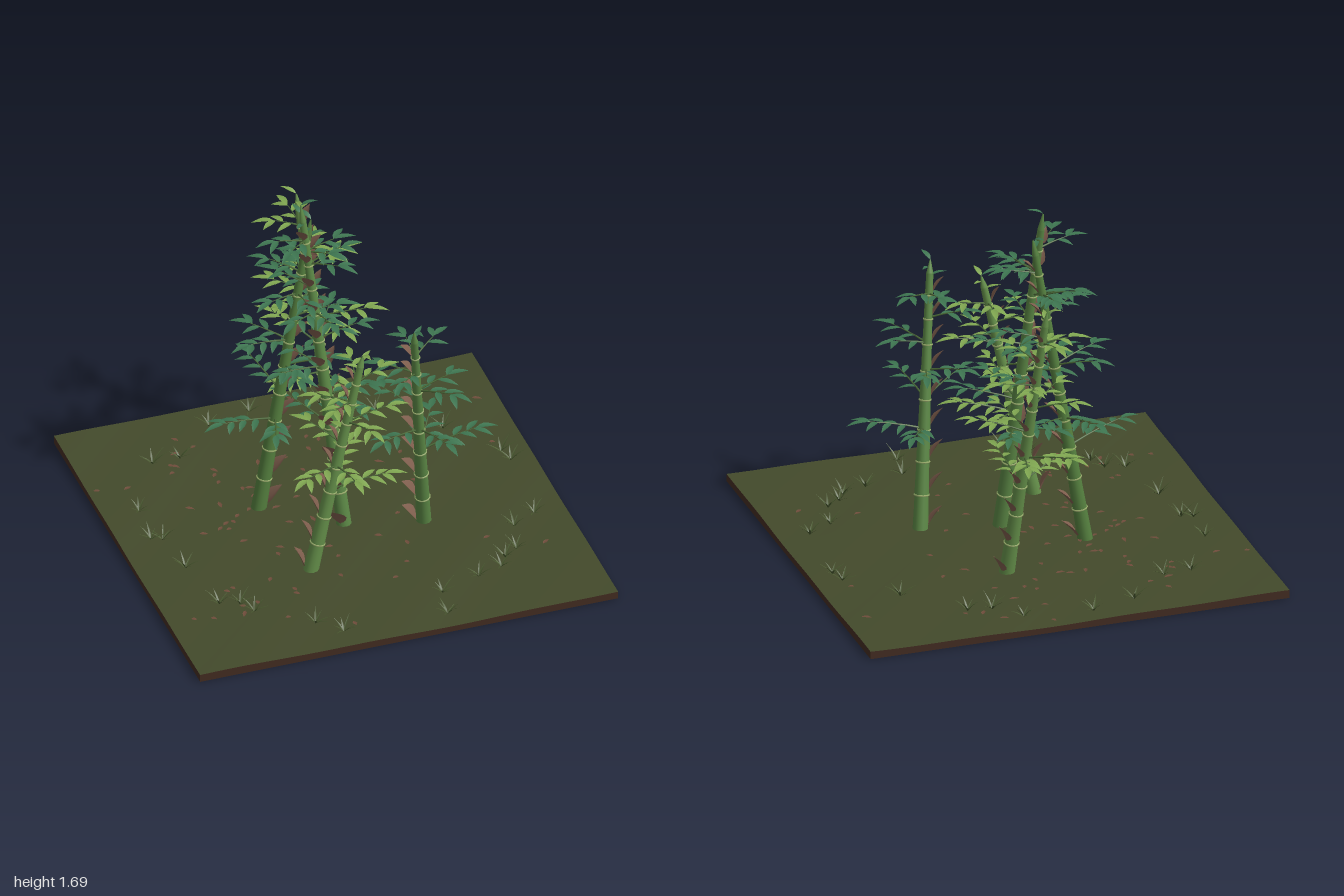
import * as THREE from 'three';
import { mergeGeometries } from 'three/addons/utils/BufferGeometryUtils.js';

const V = (x, y, z) => new THREE.Vector3(x, y, z);
const UP = V(0, 1, 0);

// Small seeded generator
function seeded(seed) {
  let s = seed;
  return (a = 0, b = 1) => {
    s = (s * 16807) % 2147483647;
    return a + (b - a) * (s / 2147483647);
  };
}

const mat = (color, extra = {}) => new THREE.MeshStandardMaterial({ color, ...extra });
const thin = (color) => mat(color, { side: THREE.DoubleSide });

function addMesh(group, name, geometries, material) {
  const mesh = new THREE.Mesh(mergeGeometries(geometries), material);
  mesh.name = name;
  group.add(mesh);
}

// Tapered round bar between two points
function bar(a, b, r0, r1, sides, open = true) {
  const d = b.clone().sub(a);
  const g = new THREE.CylinderGeometry(r1, r0, d.length(), sides, 1, open);
  g.applyQuaternion(new THREE.Quaternion().setFromUnitVectors(UP, d.normalize()));
  const m = a.clone().add(b).multiplyScalar(0.5);
  return g.translate(m.x, m.y, m.z);
}

// Pointed blade along dir: fold raises the edges, droop bends the tip down
function blade(at, dir, up, length, width, { fold = 0.25, droop = 0.2, widest = 0.85, rows = 5 } = {}) {
  const g = new THREE.PlaneGeometry(2, 1, 2, rows);
  const p = g.attributes.position;
  for (let i = 0; i < p.count; i++) {
    const u = p.getX(i), t = 0.5 - p.getY(i);
    const half = Math.max(0.02, Math.sin(Math.PI * Math.pow(t, widest))) * width / 2;
    p.setXYZ(i, u * half, Math.abs(u) * half * fold - droop * length * t * t, t * length);
  }
  g.computeVertexNormals();
  const z = dir.clone().normalize();
  const x = up.clone().cross(z).normalize();
  const y = z.clone().cross(x);
  return g.applyMatrix4(new THREE.Matrix4().makeBasis(x, y, z).setPosition(at));
}

const groundY = (x, z) => 0.034 + 0.005 * Math.sin(3 * x + 1) * Math.cos(2.5 * z) + 0.002 * Math.sin(9 * (x + z));

function buildGround() {
  const g = new THREE.BoxGeometry(2, 0.034, 2, 28, 1, 28).translate(0, 0.017, 0);
  const p = g.attributes.position;
  for (let i = 0; i < p.count; i++) {
    if (p.getY(i) > 0.01) p.setY(i, groundY(p.getX(i), p.getZ(i)));
  }
  g.computeVertexNormals();
  const side = mat(0x432c21), top = mat(0x434a2b), bottom = mat(0x33271c);
  const mesh = new THREE.Mesh(g, [side, side, top, bottom, side, side]);
  mesh.name = 'ground';
  return mesh;
}

// Leafy side branch that rises gently, leaves alternating left and right
function addBranch(start, az, length, rnd, twigs, leaves) {
  const out = V(Math.cos(az), 0, Math.sin(az));
  const side = V(-out.z, 0, out.x);
  const point = (t) => start.clone().addScaledVector(out, length * t).addScaledVector(UP, length * (0.36 * t - 0.1 * t * t));
  for (let k = 0; k < 3; k++) {
    twigs.push(bar(point(k / 3), point((k + 1) / 3), 0.0055 - k * 0.0013, 0.0042 - k * 0.0013, 5));
  }
  const count = Math.max(3, Math.round(length / 0.045));
  for (let k = 0; k < count; k++) {
    const t = 0.35 + 0.6 * k / (count - 1);
    const s = k % 2 ? 1 : -1;
    const dir = out.clone().multiplyScalar(0.75).addScaledVector(side, s * rnd(0.6, 0.95)).addScaledVector(UP, rnd(0.1, 0.3));
    leaves.push(blade(point(t), dir, UP, rnd(0.075, 0.1), 0.032, { droop: 0.3 }));
  }
  leaves.push(blade(point(1), out.clone().addScaledVector(UP, 0.2), UP, 0.1, 0.033, { droop: 0.3 }));
}

function buildStalk({ base, tip, nodes, sheath, leaf, cane, seed }) {
  const group = new THREE.Group();
  group.name = 'bambooStalk';
  const rnd = seeded(seed);
  const a = V(...base), b = V(...tip);
  const axis = b.clone().sub(a).normalize();
  const spine = (u) => a.clone().lerp(b, u);
  const radius = (u) => 0.036 - 0.02 * u;
  const height = (i) => { const u = i / nodes; return 0.95 * (1.25 * u - 0.25 * u * u); };
  const segments = [], rings = [], sheaths = [], twigs = [], leaves = [];
  const turn = new THREE.Quaternion().setFromUnitVectors(V(0, 0, 1), axis);
  const outward = V(Math.cos(sheath), 0, Math.sin(sheath));

  for (let i = 0; i < nodes; i++) {
    const u0 = height(i), u1 = height(i + 1);
    segments.push(bar(spine(u0), spine(u1), radius(u0), radius(u1) * 0.96, 12));
    if (i > 0) {
      const c = spine(u0);
      rings.push(new THREE.TorusGeometry(radius(u0), 0.0045, 5, 12).applyQuaternion(turn).translate(c.x, c.y, c.z));
    }
    // Papery sheath cupped against the cane
    const foot = spine(u0 + 0.012).addScaledVector(outward, radius(u0) * 0.9);
    const lean = axis.clone().addScaledVector(outward, 0.5);
    sheaths.push(blade(foot, lean, outward.clone().negate(), 0.115 - 0.03 * u0, 0.078 - 0.025 * u0,
      { fold: 0.35, droop: 0.12, widest: 0.8 }));
    // Branches on the upper nodes, shorter towards the top
    const y = spine(u0).y;
    if (y > 0.38) {
      const rise = (y - 0.38) / (b.y - 0.38);
      const az = sheath + Math.PI / 2 + i * 2.4;
      for (const offset of [-0.45, 0.5]) {
        addBranch(spine(u0 + 0.005), az + offset + rnd(-0.2, 0.2), (0.29 - 0.17 * rise) * rnd(0.8, 1.05), rnd, twigs, leaves);
      }
    }
  }
  // Pointed shoot with a few curled leaves
  segments.push(bar(spine(height(nodes)), b, radius(0.95), 0.003, 8));
  for (let k = 0; k < 3; k++) {
    const az = sheath + k * 2.1;
    leaves.push(blade(spine(0.94 + 0.03 * k), V(Math.cos(az), 0.7, Math.sin(az)), UP, 0.075, 0.026, { droop: 0.35 }));
  }
  addMesh(group, 'cane', segments, mat(cane));
  addMesh(group, 'nodeRings', rings, mat(0x9aae6c));
  addMesh(group, 'sheaths', sheaths, thin(0x805f4e));
  addMesh(group, 'branches', twigs, mat(0x4c6b38));
  addMesh(group, 'leaves', leaves, thin(leaf));
  return group;
}

function buildGrass() {
  const spots = [[-0.31, -0.85], [-0.1, -0.9], [0.22, -0.86], [0.33, -0.74], [0.44, -0.72], [-0.52, -0.65], [-0.65, -0.65],
    [0.68, -0.48], [-0.83, -0.32], [0.87, -0.23], [0.89, -0.15], [-0.8, -0.08], [-0.85, -0.1], [-0.78, 0.17], [-0.73, 0.49],
    [-0.64, 0.52], [-0.6, 0.6], [0.85, 0.28], [0.73, 0.35], [0.61, 0.57], [0.68, 0.52], [0.57, 0.63], [0.45, 0.67],
    [0.25, 0.74], [0.22, 0.9], [-0.37, 0.78], [-0.27, 0.88]];
  const rnd = seeded(77);
  const blades = [];
  for (const [x, z] of spots) {
    for (let k = 0; k < 7; k++) {
      const az = k * 0.9 + rnd(0, 0.6);
      const dir = V(Math.cos(az), rnd(0.8, 2), Math.sin(az));
      blades.push(blade(V(x, groundY(x, z) - 0.003, z), dir, UP, rnd(0.06, 0.095), 0.01, { droop: 0.25, widest: 0.6, rows: 4 }));
    }
  }
  const group = new THREE.Group();
  group.name = 'grassTufts';
  addMesh(group, 'grassBlades', blades, thin(0x4a5a30));
  return group;
}

function buildLitter() {
  const rnd = seeded(321);
  const bits = [];
  for (let k = 0; k < 75; k++) {
    const far = k % 3 === 0 ? 0.95 : 0.65;
    const x = rnd(-far, far), z = rnd(-far, far), az = rnd(0, 6.28);
    bits.push(blade(V(x, groundY(x, z) + 0.004, z), V(Math.cos(az), 0.05, Math.sin(az)), UP, rnd(0.025, 0.05), 0.02, { droop: 0.05, rows: 3 }));
  }
  const group = new THREE.Group();
  group.name = 'leafLitter';
  addMesh(group, 'fallenLeaves', bits, thin(0x6e4c3a));
  return group;
}

export function createModel() {
  const model = new THREE.Group();
  model.name = 'bambooGrove';
  const dark = 0x3d7550, light = 0x7fa650;
  const stalks = [
    { base: [0.01, 0.03, 0.08], tip: [-0.12, 1.67, -0.14], nodes: 11, sheath: 2.3, leaf: dark, cane: 0x5b8745, seed: 11 },
    { base: [-0.31, 0.03, -0.17], tip: [-0.06, 1.56, -0.17], nodes: 11, sheath: 0.05, leaf: dark, cane: 0x55803f, seed: 23 },
    { base: [-0.25, 0.03, 0.37], tip: [0, 1.15, 0.37], nodes: 9, sheath: 3.5, leaf: light, cane: 0x65904a, seed: 37 },
    { base: [0.36, 0.03, 0.17], tip: [0.23, 1.25, 0.41], nodes: 9, sheath: 3.4, leaf: dark, cane: 0x5b8745, seed: 41 },
    { base: [0.14, 0.03, -0.39], tip: [0.02, 1.4, -0.6], nodes: 10, sheath: -0.35, leaf: light, cane: 0x65904a, seed: 59 },
  ];
  model.add(buildGround(), buildGrass(), buildLitter(), ...stalks.map(buildStalk));
  return model;
}
